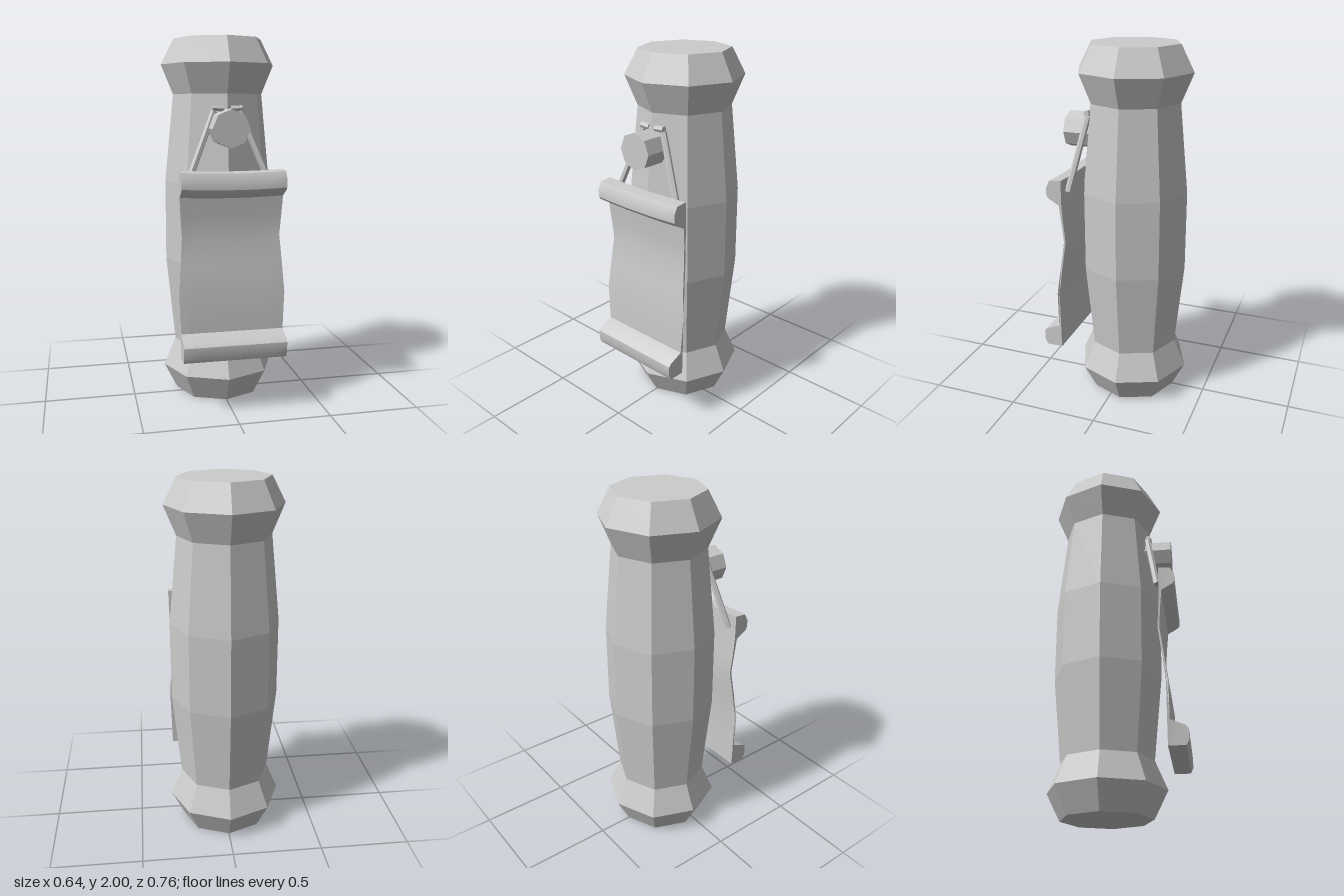
import * as THREE from 'three';
import { toCreasedNormals } from 'three/addons/utils/BufferGeometryUtils.js';

const flat = new THREE.MeshStandardMaterial({ color: 0xcccccc, flatShading: true });
const smooth = new THREE.MeshStandardMaterial({ color: 0xcccccc, side: THREE.DoubleSide });

function add(parent, name, geometry, material = flat) {
  const mesh = new THREE.Mesh(geometry, material);
  mesh.name = name;
  parent.add(mesh);
  return mesh;
}

// Low-poly rod between two points
function rod(parent, name, a, b, radius, sides = 6) {
  const start = new THREE.Vector3(...a), end = new THREE.Vector3(...b);
  const dir = end.clone().sub(start);
  const mesh = add(parent, name, new THREE.CylinderGeometry(radius, radius, dir.length(), sides));
  mesh.position.copy(start).add(end).multiplyScalar(0.5);
  mesh.quaternion.setFromUnitVectors(new THREE.Vector3(0, 1, 0), dir.normalize());
  return mesh;
}

// Scroll cross-section as (z, y), extruded across x with slightly waisted edges
function scrollGeometry() {
  const profile = [
    [0.275, 0.30], [0.365, 0.30], [0.38, 0.33], [0.38, 0.385], [0.365, 0.402],
    [0.288, 0.435], [0.287, 0.64], [0.267, 0.80], [0.248, 0.95], [0.255, 1.06], [0.265, 1.165],
    [0.325, 1.20], [0.336, 1.215], [0.336, 1.26], [0.315, 1.30], [0.25, 1.305],
    [0.25, 1.17], [0.245, 1.06], [0.238, 0.95], [0.257, 0.80], [0.275, 0.64],
  ].map(([z, y]) => new THREE.Vector2(z, y));
  const width = 0.56;
  const g = new THREE.ExtrudeGeometry(new THREE.Shape(profile), { depth: width, steps: 8, bevelEnabled: false });
  g.translate(0, 0, -width / 2).rotateY(-Math.PI / 2);
  const p = g.attributes.position;
  for (let i = 0; i < p.count; i++) {
    const y = p.getY(i), u = p.getX(i) / (width / 2);
    const waist = 0.014 * Math.exp(-(((y - 0.95) / 0.12) ** 2));
    const flare = 0.008 * Math.exp(-(((y - 0.64) / 0.1) ** 2));
    p.setX(i, 0.01 + u * (width / 2 - waist + flare));
    if (y > 1.16) p.setY(i, y - 0.008 * (1 - u * u));
  }
  return toCreasedNormals(g, 0.6);
}

export function createModel() {
  const model = new THREE.Group();
  model.name = 'columnWithScroll';

  // Eight-sided column with flared ends
  const rings = [
    [0, 0], [0.245, 0], [0.318, 0.145], [0.252, 0.30], [0.30, 0.78],
    [0.30, 1.22], [0.252, 1.70], [0.318, 1.86], [0.245, 2], [0, 2],
  ].map(([r, y]) => new THREE.Vector2(r, y));
  add(model, 'column', new THREE.LatheGeometry(rings, 8)).position.z = -0.063;

  // Peg standing out from the column
  const peg = add(model, 'peg', new THREE.CylinderGeometry(0.1, 0.1, 0.165, 8));
  peg.rotation.x = Math.PI / 2;
  peg.position.set(-0.004, 1.52, 0.233);

  // Cords looped over the peg and down behind the scroll
  const cords = new THREE.Group();
  cords.name = 'cords';
  model.add(cords);
  for (const [side, s] of [['left', 1], ['right', -1]]) {
    rod(cords, side + 'Cord', [s * 0.07, 1.61, 0.18], [s * 0.225, 1.225, 0.238], 0.018);
    rod(cords, side + 'CordEnd', [s * 0.08, 1.625, 0.185], [s * 0.02, 1.622, 0.185], 0.017);
    rod(cords, side + 'CordLink', [s * 0.03, 1.62, 0.185], [0, 1.612, 0.185], 0.01);
  }

  // Hanging scroll with rolled top and bottom
  add(model, 'scroll', scrollGeometry(), smooth);

  return model;
}
